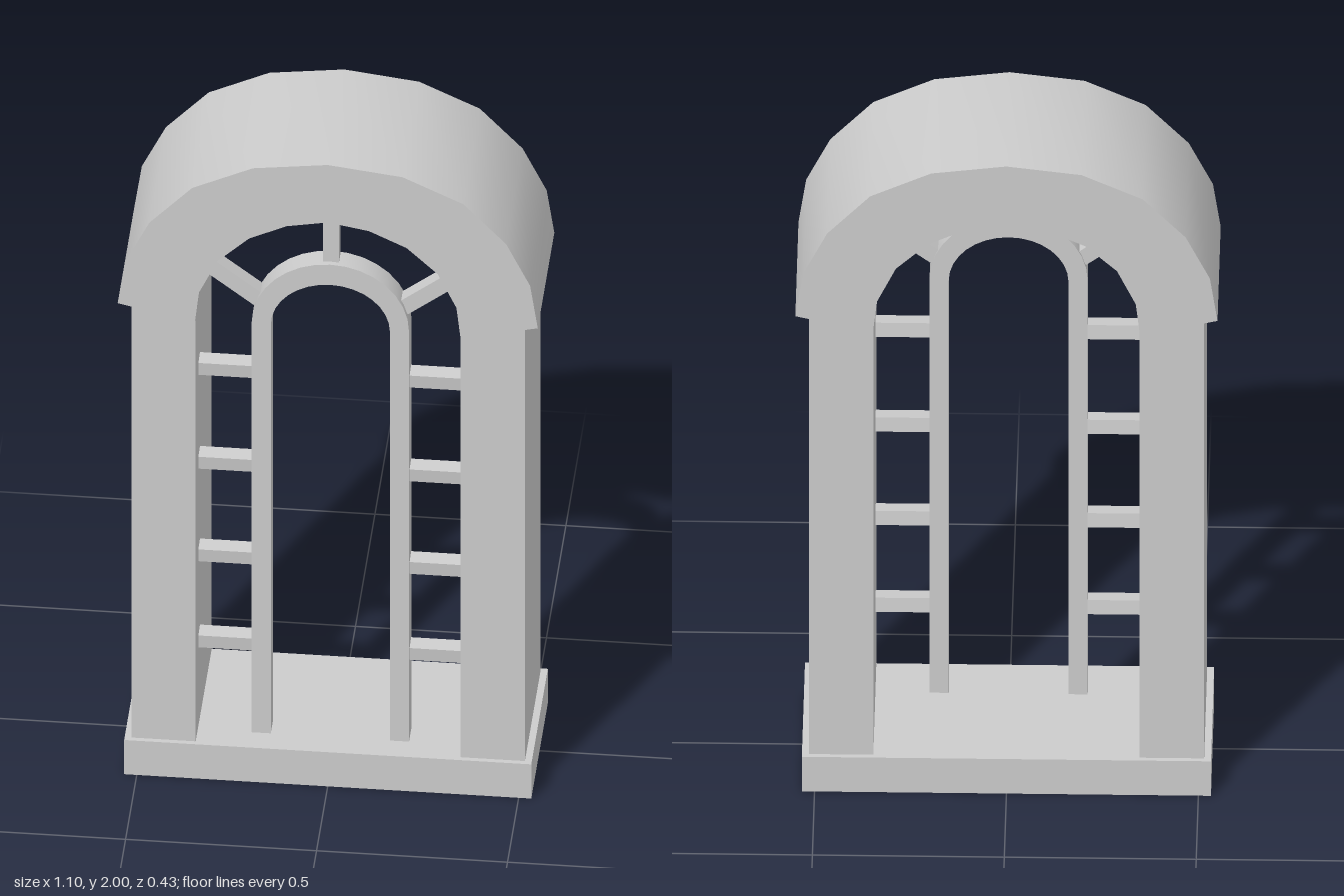
import * as THREE from 'three';
import { toCreasedNormals } from 'three/addons/utils/BufferGeometryUtils.js';

const material = new THREE.MeshStandardMaterial({ color: 0xcccccc });

// Mirror a right-hand half outline (bottom to crown) into a full arch line
const mirrorHalf = (half) => [
  ...half,
  ...half.slice(0, -1).reverse().map(([x, y]) => [-x, y]),
];

// Closed band between an outer and an inner line, extruded from z0 to z1
function band(name, outerHalf, innerHalf, z0, z1) {
  const points = [...mirrorHalf(outerHalf), ...mirrorHalf(innerHalf).reverse()];
  const shape = new THREE.Shape(points.map(([x, y]) => new THREE.Vector2(x, y)));
  const extruded = new THREE.ExtrudeGeometry(shape, { depth: z1 - z0, bevelEnabled: false });
  extruded.translate(0, 0, z0);
  const mesh = new THREE.Mesh(toCreasedNormals(extruded, 0.6), material);
  mesh.name = name;
  return mesh;
}

function box(name, w, h, d, x, y, z) {
  const mesh = new THREE.Mesh(new THREE.BoxGeometry(w, h, d), material);
  mesh.name = name;
  mesh.position.set(x, y, z);
  return mesh;
}

// Half of a round-headed frame: foot, then a quarter ellipse up to the crown
function frameHalf(rx, ry, foot, spring, steps = 8) {
  const points = [[rx, foot]];
  for (let i = 0; i <= steps; i++) {
    const a = (i / steps) * Math.PI / 2;
    points.push([i === steps ? 0 : rx * Math.cos(a), spring + ry * Math.sin(a)]);
  }
  return points;
}

export function createModel() {
  const model = new THREE.Group();
  model.name = 'archedWindow';

  // Sill
  model.add(box('sill', 1.066, 0.11, 0.426, 0, 0.055, 0));

  // Heavy arch over the columns
  model.add(band('arch',
    [[0.55, 1.515], [0.53, 1.65], [0.467, 1.78], [0.355, 1.9], [0.196, 1.975], [0, 2]],
    [[0.348, 1.466], [0.337, 1.565], [0.288, 1.67], [0.206, 1.748], [0.108, 1.795], [0, 1.815]],
    -0.213, 0.213));

  // Slim round-headed inner frame, set towards the front
  model.add(band('innerFrame',
    frameHalf(0.206, 0.2, 0.1, 1.43), frameHalf(0.156, 0.14, 0.1, 1.425), 0.083, 0.145));

  // Spoke above the crown of the inner frame
  model.add(box('topSpoke', 0.042, 0.21, 0.042, 0, 1.715, 0.11));

  for (const side of [-1, 1]) {
    const label = side > 0 ? 'left' : 'right';
    model.add(box(`${label}Column`, 0.168, 1.41, 0.4, side * 0.431, 0.805, 0));

    // Diagonal spoke
    const spoke = box(`${label}Spoke`, 0.17, 0.045, 0.042, side * 0.255, 1.545, 0.11);
    spoke.rotation.z = side * 0.66;
    model.add(spoke);

    // Short glazing bars, tipped slightly forward
    [0.383, 0.66, 0.958, 1.26].forEach((y, i) => {
      const bar = box(`${label}Bar${i + 1}`, 0.16, 0.042, 0.042, side * 0.275, y, 0.108);
      bar.rotation.x = 0.12;
      model.add(bar);
    });
  }
  return model;
}
